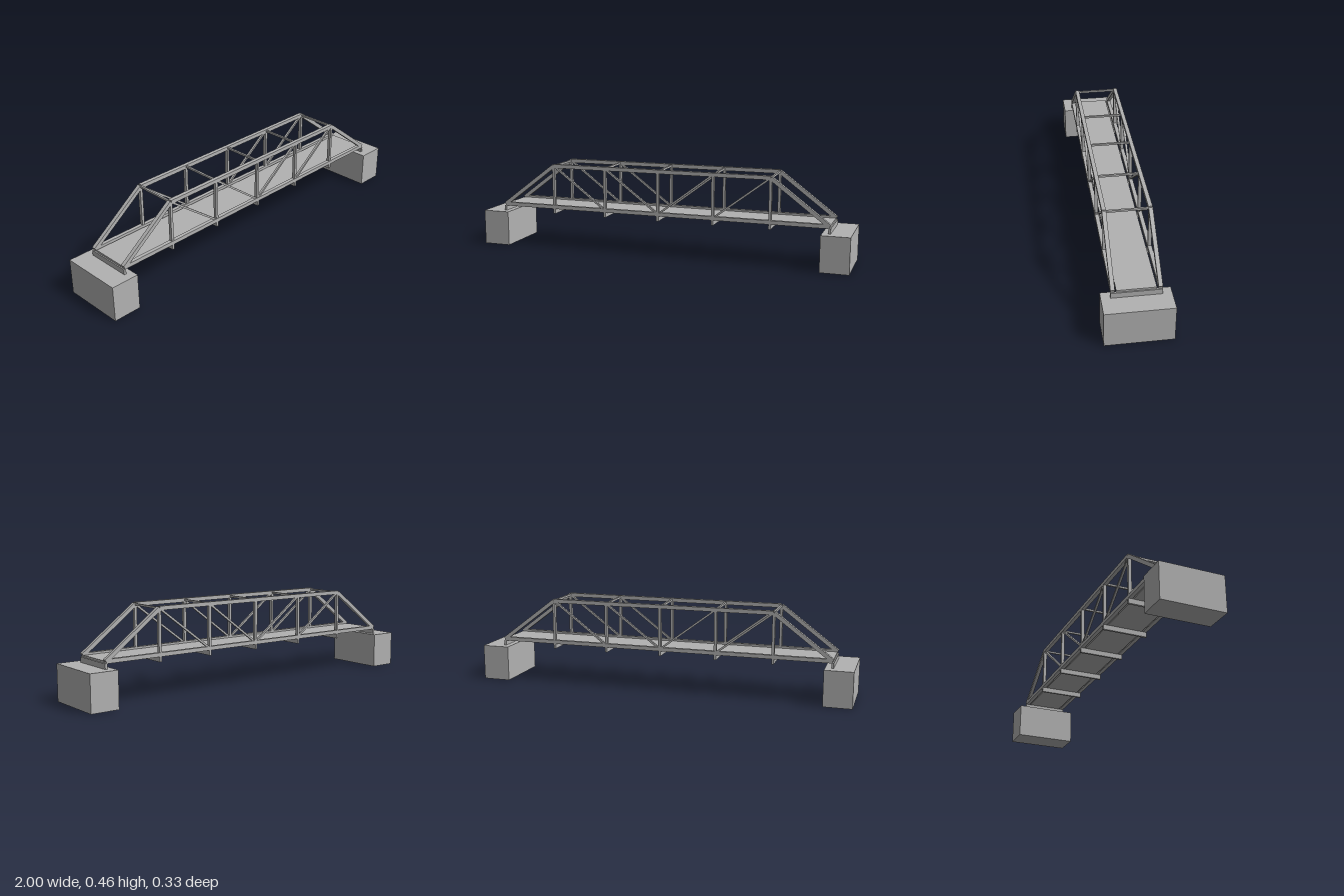
import * as THREE from 'three';

export function createModel() {
  const bridge = new THREE.Group();
  bridge.name = 'trussBridge';
  const grey = new THREE.MeshStandardMaterial({ color: 0xb2b2b2 });
  grey.name = 'grey';

  const PANEL = 0.297, LOW = 0.222, HIGH = 0.446, SIDE = 0.109, END = 3 * PANEL;

  function box(name, w, h, d, x, y, z, parent = bridge) {
    const mesh = new THREE.Mesh(new THREE.BoxGeometry(w, h, d), grey);
    mesh.name = name;
    mesh.position.set(x, y, z);
    parent.add(mesh);
    return mesh;
  }

  // Straight bar between two points of the truss plane
  function bar(name, x1, y1, x2, y2, height, depth, parent) {
    const mesh = box(name, Math.hypot(x2 - x1, y2 - y1), height, depth,
      (x1 + x2) / 2, (y1 + y2) / 2, 0, parent);
    mesh.rotation.z = Math.atan2(y2 - y1, x2 - x1);
  }

  // Abutments
  for (const s of [-1, 1]) box('abutment', 0.146, 0.186, 0.326, s * 0.927, 0.093, 0);

  // Road deck
  box('deck', 2 * END, 0.011, 0.185, 0, 0.2175, 0);

  // Floor beams under every joint
  for (let i = -3; i <= 3; i++) box('floorBeam', 0.012, 0.027, 0.238, i * PANEL, 0.1995, 0);

  // Top cross struts
  for (let i = -2; i <= 2; i++) box('topStrut', 0.01, 0.01, 0.218, i * PANEL, HIGH, 0);

  // Two side trusses
  for (const s of [-1, 1]) {
    const truss = new THREE.Group();
    truss.name = s > 0 ? 'frontTruss' : 'backTruss';
    truss.position.z = s * SIDE;
    bridge.add(truss);
    bar('bottomChord', -END, LOW, END, LOW, 0.02, 0.02, truss);
    bar('topChord', -2 * PANEL, HIGH, 2 * PANEL, HIGH, 0.02, 0.02, truss);
    for (let i = -2; i <= 2; i++) {
      bar('vertical', i * PANEL, LOW, i * PANEL, HIGH, 0.014, 0.017, truss);
    }
    for (const m of [-1, 1]) {
      bar('endPost', m * END, LOW, m * 2 * PANEL, HIGH, 0.02, 0.02, truss);
      for (const i of [1, 2]) {
        bar('diagonal', m * i * PANEL, HIGH, m * (i - 1) * PANEL, LOW, 0.01, 0.012, truss);
      }
    }
  }
  return bridge;
}
